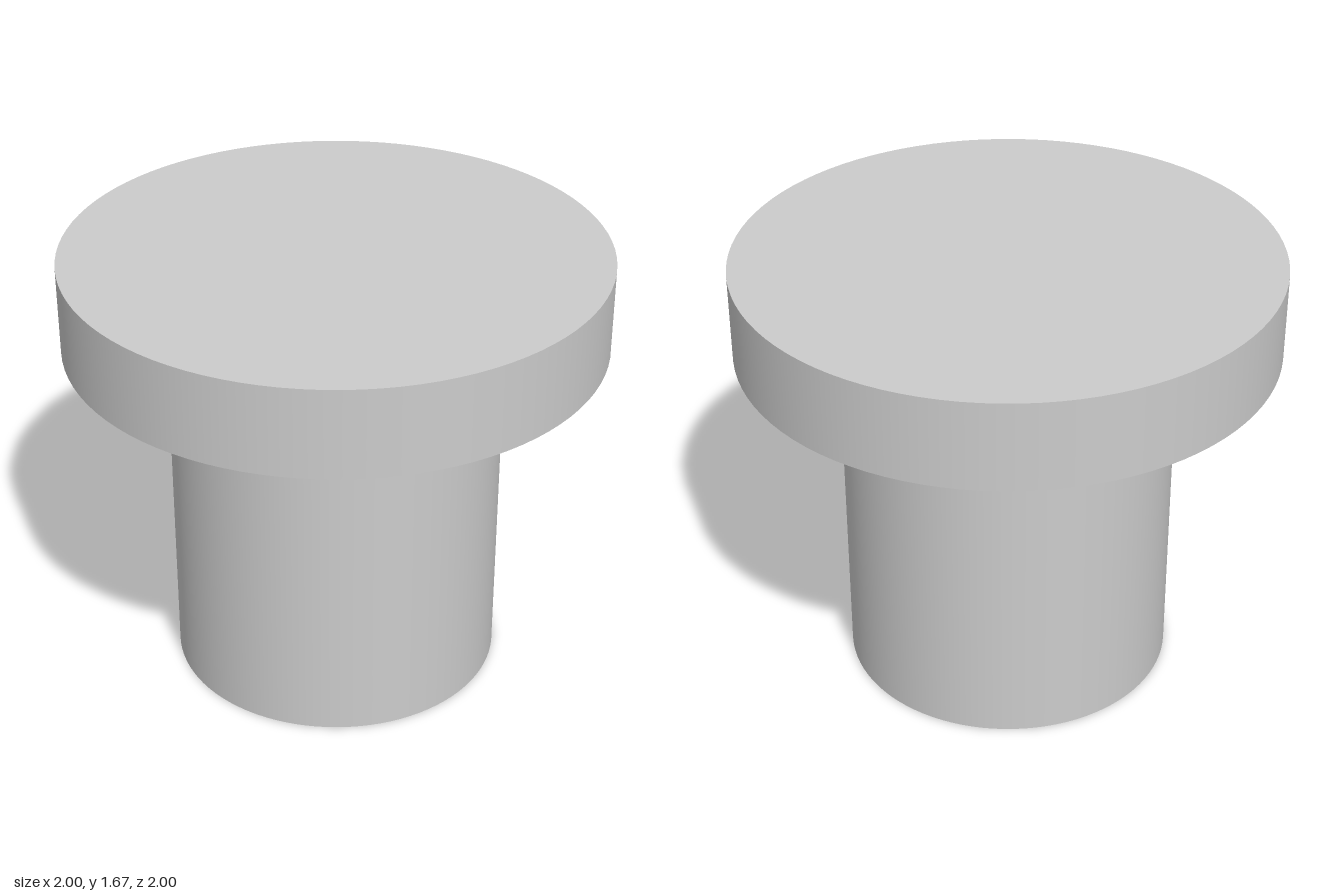
import * as THREE from 'three';

const SEGMENTS = 96;
const SHAFT_RADIUS = 0.62;
const HEAD_RADIUS = 1;
const HEAD_BOTTOM = 1.335;
const HEAD_TOP = 1.67;

export function createModel() {
  const group = new THREE.Group();
  group.name = 'flangedPin';
  const material = new THREE.MeshStandardMaterial({ color: 0xcccccc });

  // Upright solid cylinder between two heights
  const addDisc = (name, radius, bottom, top) => {
    const geometry = new THREE.CylinderGeometry(radius, radius, top - bottom, SEGMENTS);
    const mesh = new THREE.Mesh(geometry, material);
    mesh.name = name;
    mesh.position.y = (bottom + top) / 2;
    group.add(mesh);
  };

  // Plain shaft standing on the ground
  addDisc('shaft', SHAFT_RADIUS, 0, HEAD_BOTTOM);

  // Wide flat head on top of the shaft
  addDisc('head', HEAD_RADIUS, HEAD_BOTTOM, HEAD_TOP);

  return group;
}
